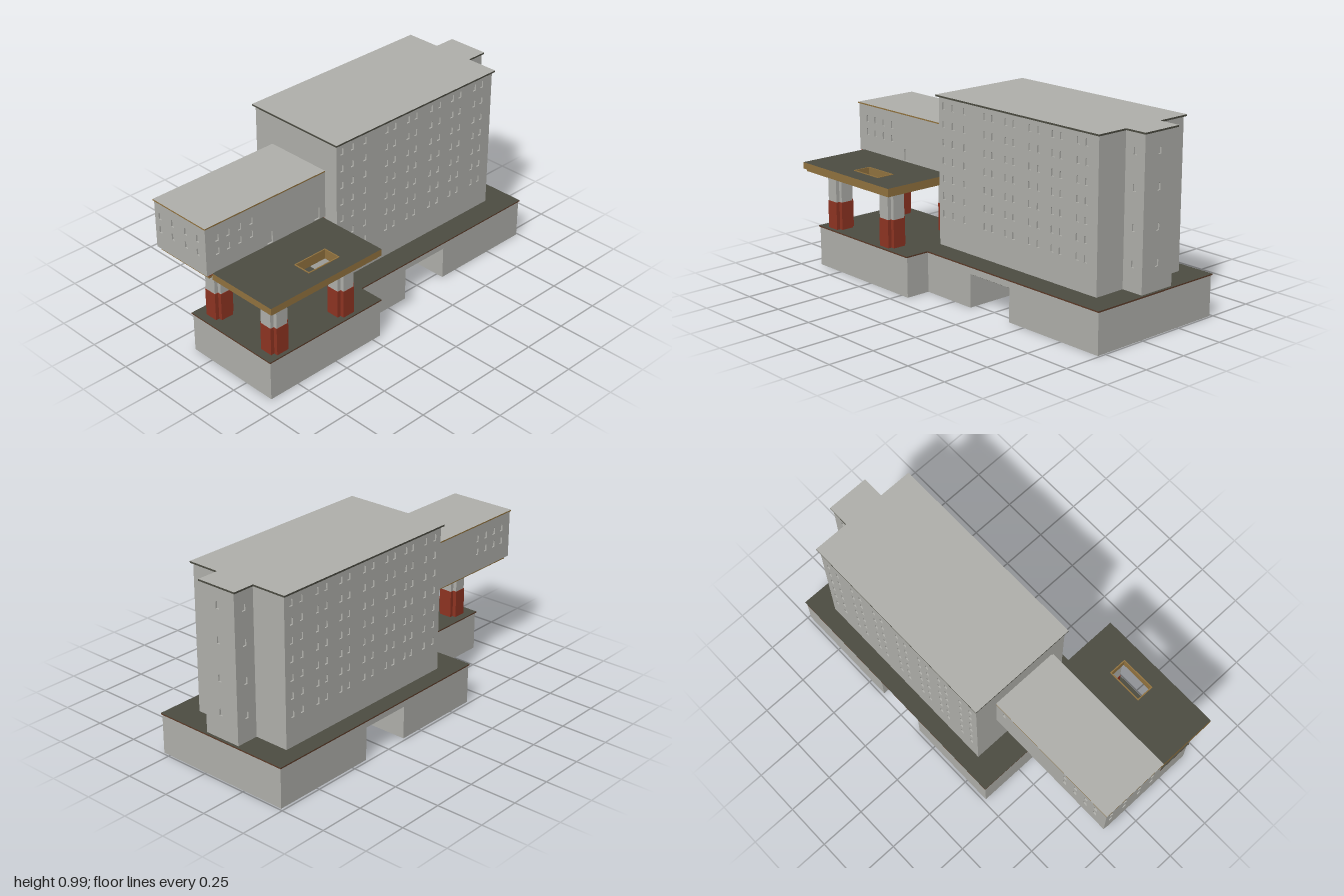
import * as THREE from 'three';

export function createModel() {
  const model = new THREE.Group();
  const material = (name, color) => {
    const m = new THREE.MeshStandardMaterial({ color });
    m.name = name;
    return m;
  };
  const concrete = material('concrete grey', 0xb0b0ab);
  const deck = material('dark deck', 0x4c4c42);
  const ochre = material('ochre', 0x92733f);
  const red = material('brick red', 0x8f3422);
  const brown = material('brown edge', 0x5c3b28);

  const add = (name, geometry, mat) => {
    const mesh = new THREE.Mesh(geometry, mat);
    mesh.name = name;
    model.add(mesh);
    return mesh;
  };

  // Box from its limits on each axis
  const block = (name, x0, x1, y0, y1, z0, z1, mat) => {
    const mesh = add(name, new THREE.BoxGeometry(x1 - x0, y1 - y0, z1 - z0), mat);
    mesh.position.set((x0 + x1) / 2, (y0 + y1) / 2, (z0 + z1) / 2);
    return mesh;
  };

  // Plan outline of [x, z] points, raised from y0 to y1
  const toVectors = (pts) => pts.map(([x, z]) => new THREE.Vector2(x, -z));
  const rect = (x0, x1, z0, z1) => [[x0, z1], [x1, z1], [x1, z0], [x0, z0]];
  const raise = (name, pts, y0, y1, mats, hole) => {
    const shape = new THREE.Shape(toVectors(pts));
    if (hole) shape.holes.push(new THREE.Path(toVectors(hole)));
    const g = new THREE.ExtrudeGeometry(shape, { depth: y1 - y0, bevelEnabled: false });
    g.rotateX(-Math.PI / 2);
    g.translate(0, y0, 0);
    return add(name, g, mats);
  };

  // Wall skin with window openings; u runs to the right seen from outside
  const SKIN = 0.008;
  const opening = ([u, v, w = 0.02, h = 0.036]) => {
    const a = w / 2, b = h / 2, c = 0.004;
    return new THREE.Path([[-a, -b], [a, -b], [a, b - c], [a - c, b], [c - a, b], [-a, b - c]]
      .map(([x, y]) => new THREE.Vector2(u + x, v + y)));
  };
  const wall = (name, u0, u1, y0, y1, windows, turn, offset) => {
    const shape = new THREE.Shape([[u0, y0], [u1, y0], [u1, y1], [u0, y1]]
      .map(([x, y]) => new THREE.Vector2(x, y)));
    shape.holes = windows.map(opening);
    const g = new THREE.ExtrudeGeometry(shape, { depth: SKIN, bevelEnabled: false });
    g.translate(0, 0, offset - SKIN);
    g.rotateY(turn);
    add(name, g, concrete);
  };
  const grid = (us, vs) => us.flatMap((u) => vs.map((v) => [u, v]));
  const BACK = Math.PI, EAST = Math.PI / 2, WEST = -Math.PI / 2;

  // Podium with a passage running through it
  const P = 0.21;
  block('podiumWest', -0.92, -0.2, 0, P, -0.125, 0.425, concrete);
  block('podiumMiddle', -0.39, 0.12, 0, P, -0.485, 0.29, concrete);
  block('podiumEast', 0.4, 0.99, 0, P, -0.485, 0.29, concrete);
  block('passageBridge', 0.12, 0.4, 0.175, P, -0.485, 0.29, concrete);
  block('passageCeiling', 0.12, 0.4, 0.172, 0.175, -0.48, 0.285, deck);
  raise('podiumDeck', [
    [-0.926, 0.431], [-0.197, 0.431], [-0.197, 0.295], [0.995, 0.295],
    [0.995, -0.491], [-0.394, -0.491], [-0.394, -0.13], [-0.926, -0.13],
  ], P, P + 0.007, [deck, brown]);

  // Main tower
  const B = P + 0.007, T = 0.985;
  const rows = [0.385, 0.478, 0.57, 0.663, 0.755, 0.848, 0.94];
  const frontColumns = [-0.21, -0.14, -0.055, 0.095, 0.15, 0.245, 0.3, 0.41, 0.47, 0.565, 0.62, 0.73, 0.785];
  const backColumns = [-0.2, -0.13, -0.03, 0.02, 0.105, 0.16, 0.26, 0.32, 0.43, 0.485, 0.585, 0.645, 0.75, 0.815];
  block('towerCore', -0.245, 0.86, B, T, -0.4 + SKIN, 0.17 - SKIN, concrete);
  wall('towerFront', -0.245, 0.86, B, T, grid(frontColumns, rows), 0, 0.17);
  wall('towerBack', -0.86, 0.245, B, T, grid(backColumns.map((x) => -x), rows), BACK, 0.4);

  // Stair tower on the end wall
  const stairRows = [0.355, 0.53, 0.722, 0.895];
  block('stairCore', 0.86, 0.98 - SKIN, B, T, -0.21 + SKIN, -0.005 - SKIN, concrete);
  wall('stairEnd', 0.005, 0.21, B, T, grid([0.104], stairRows), EAST, 0.98);
  wall('stairFront', 0.86, 0.98 - SKIN, B, T, grid([0.92], stairRows), 0, -0.005);
  wall('stairBack', -0.98 + SKIN, -0.86, B, T, grid([-0.92], stairRows), BACK, 0.21);

  // Tower roof, stepped around the stair
  raise('towerRoof', [
    [-0.258, 0.182], [0.87, 0.182], [0.87, 0.004], [0.988, 0.004],
    [0.988, -0.222], [0.87, -0.222], [0.87, -0.412], [-0.258, -0.412],
  ], T, T + 0.009, [concrete, deck]);

  // Raised side wing
  const W0 = 0.562, W1 = 0.815;
  const wingRows = [0.67, 0.742];
  const wingColumns = [-0.925, -0.86, -0.79, -0.72];
  block('wingCore', -0.995 + SKIN, -0.245, W0, W1, -0.272 + SKIN, 0.09 - SKIN, concrete);
  wall('wingFront', -0.995, -0.245, W0, W1,
    [...grid(wingColumns, wingRows), [-0.605, 0.6, 0.034, 0.064], [-0.3, 0.6, 0.034, 0.064]], 0, 0.09);
  wall('wingBack', 0.245, 0.995, W0, W1,
    [...grid(wingColumns.map((x) => -x), wingRows), [0.3, 0.742]], BACK, 0.272);
  wall('wingEnd', -0.272 + SKIN, 0.09 - SKIN, W0, W1,
    grid([-0.235, -0.145, -0.05, 0.035], wingRows), WEST, 0.995);
  raise('wingRoof', rect(-1, -0.25, -0.277, 0.095), W1, W1 + 0.007, [concrete, ochre]);

  // Ceiling beneath the wing with a grid of beams
  block('wingCeiling', -0.985, -0.25, W0 - 0.004, W0, -0.262, 0.09, red);
  for (let i = 0; i < 7; i++) {
    const x = -0.975 + i * 0.118;
    block('ceilingCrossBeam', x - 0.008, x + 0.008, W0 - 0.016, W0 - 0.004, -0.258, 0.09, ochre);
  }
  for (const z of [-0.25, -0.14, -0.03, 0.075]) {
    block('ceilingLongBeam', -0.983, -0.25, W0 - 0.015, W0 - 0.004, z - 0.008, z + 0.008, ochre);
  }

  // Canopy with a rectangular skylight
  const skylight = rect(-0.642, -0.457, 0.308, 0.396);
  raise('canopySlab', rect(-0.963, -0.262, 0.09, 0.49), 0.53, 0.565, [deck, ochre], skylight);
  raise('canopySoffit', rect(-0.95, -0.275, 0.09, 0.478), 0.517, 0.53, [red, ochre], skylight);
  const rim = rect(-0.648, -0.451, 0.302, 0.402);
  raise('skylightRim', rim, 0.565, 0.568, ochre, skylight);

  // Columns: notched square section, red below and grey above
  const notched = (x, z, r, n) => [[-1, -1], [1, -1], [1, 1], [-1, 1]].flatMap(([sx, sz], i) => {
    const a = [x + sx * r, z + sz * (r - n)];
    const b = [x + sx * (r - n), z + sz * (r - n)];
    const c = [x + sx * (r - n), z + sz * r];
    return i % 2 ? [c, b, a] : [a, b, c];
  }).reverse();
  for (const x of [-0.828, -0.4]) {
    for (const [z, top] of [[0.356, 0.517], [-0.035, W0 - 0.004]]) {
      raise('columnBase', notched(x, z, 0.055, 0.02), B, 0.365, red);
      raise('columnShaft', notched(x, z, 0.053, 0.02), 0.365, top, concrete);
    }
  }

  return model;
}
